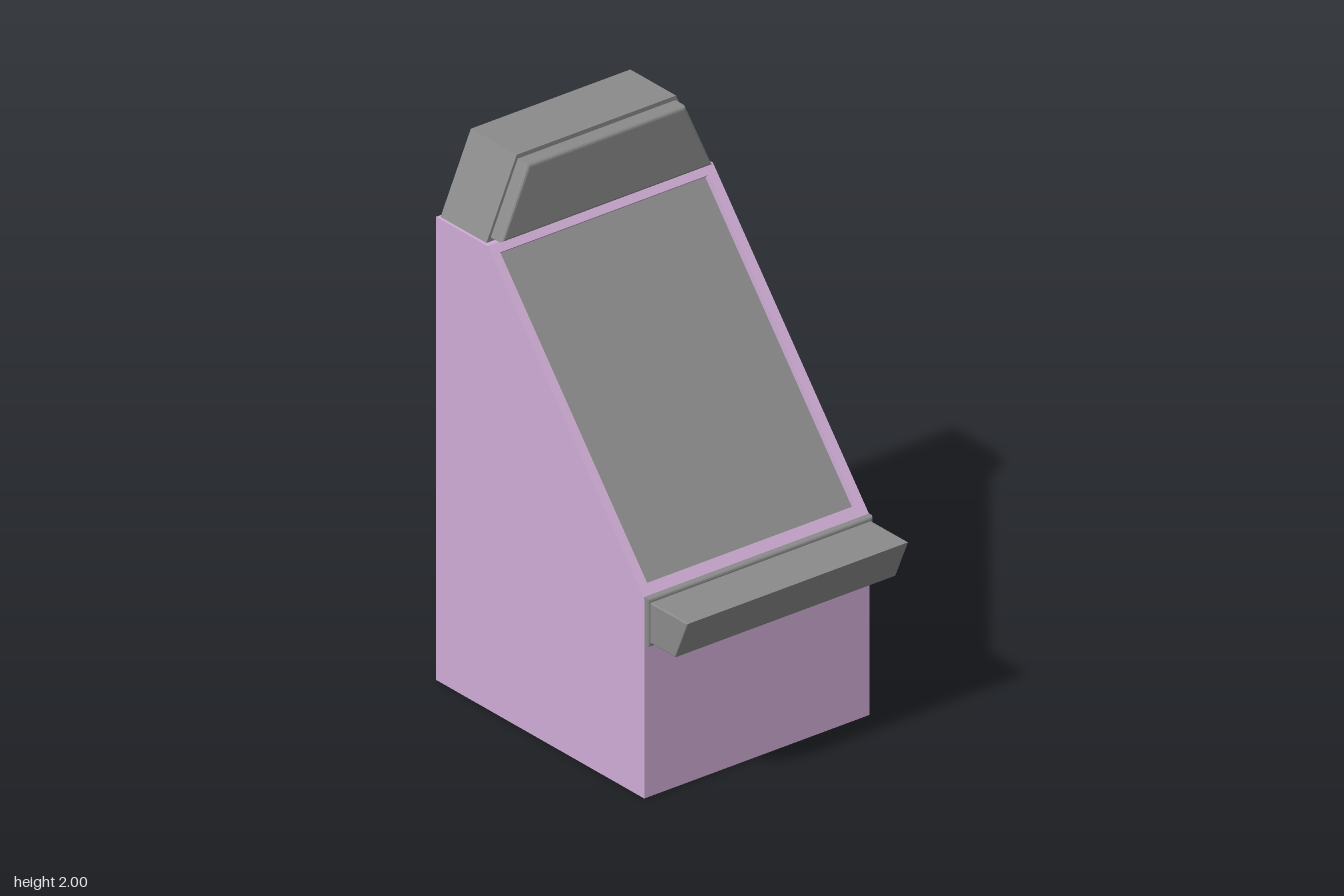
import * as THREE from 'three';

const HALF = 0.476;                      // half width of the cabinet
const LOW = { z: 0.44, y: 0.74 };        // lower end of the sloped front
const HIGH = { z: -0.38, y: 1.715 };     // upper end of the sloped front
const RECESS = 0.026;

const toShape = (points) => new THREE.Shape(points.map(([a, b]) => new THREE.Vector2(a, b)));

// Extrude a front outline (x, y) from z0 to z1, with an optional small bevel
function frontExtrude(shape, z0, z1, bevel = 0) {
  const geometry = new THREE.ExtrudeGeometry(shape, {
    depth: z1 - z0 - 2 * bevel,
    bevelEnabled: bevel > 0,
    bevelThickness: bevel,
    bevelSize: bevel,
    bevelOffset: -bevel,
    bevelSegments: 3,
  });
  return geometry.translate(0, 0, z0 + bevel);
}

// Extrude a side profile (z, y) across the width
function sideExtrude(points, half, bevel = 0) {
  return frontExtrude(toShape(points), -half, half, bevel).rotateY(-Math.PI / 2);
}

const rect = (x, y0, y1) => [[-x, y0], [x, y0], [x, y1], [-x, y1]];

export function createModel() {
  const group = new THREE.Group();
  const body = new THREE.MeshStandardMaterial({ color: 0xcfacd5 });
  body.name = 'lilac';
  const grey = new THREE.MeshStandardMaterial({ color: 0x8b8b8b });
  grey.name = 'grey';

  const add = (name, geometry, material) => {
    const mesh = new THREE.Mesh(geometry, material);
    mesh.name = name;
    group.add(mesh);
    return mesh;
  };

  // Slope direction
  const run = LOW.z - HIGH.z;
  const rise = HIGH.y - LOW.y;
  const length = Math.hypot(run, rise);
  const angle = Math.atan2(run, rise);
  const dz = Math.cos(angle) * RECESS;
  const dy = Math.sin(angle) * RECESS;

  // Cabinet with its sloped face set back to receive the frame
  add('cabinet', sideExtrude([
    [-0.65, 0], [LOW.z, 0], [LOW.z, LOW.y],
    [LOW.z - dz, LOW.y - dy], [HIGH.z - dz, HIGH.y - dy],
    [HIGH.z, HIGH.y], [-0.65, HIGH.y],
  ], HALF), body);

  // Frame and recessed screen lying on the slope
  const onSlope = (mesh) => {
    mesh.rotation.x = -angle;
    mesh.position.set(0, LOW.y - dy, LOW.z - dz);
  };
  const opening = rect(0.44, 0.046, 1.24);
  const frame = toShape(rect(HALF, 0, length));
  frame.holes.push(new THREE.Path(opening.map(([x, y]) => new THREE.Vector2(x, y)).reverse()));
  onSlope(add('screenFrame', frontExtrude(frame, 0, RECESS), body));
  onSlope(add('screen', frontExtrude(toShape(opening), 0, 0.004), grey));

  // Header sign: tapered box with a raised front panel
  add('headerBox', frontExtrude(toShape(
    [[-0.465, 1.715], [0.465, 1.715], [0.337, 2], [-0.337, 2]]), -0.64, -0.4), grey);
  add('headerPanel', frontExtrude(toShape(
    [[-0.447, 1.73], [0.447, 1.73], [0.333, 1.985], [-0.333, 1.985]]), -0.41, -0.343, 0.012), grey);

  // Control shelf with its mounting plate
  add('shelfPlate', frontExtrude(toShape(rect(HALF, 0.565, 0.745)), 0.43, 0.461, 0.01), grey);
  add('controlShelf', sideExtrude(
    [[0.45, 0.58], [0.59, 0.58], [0.656, 0.73], [0.45, 0.73]], 0.467, 0.005), grey);

  return group;
}
